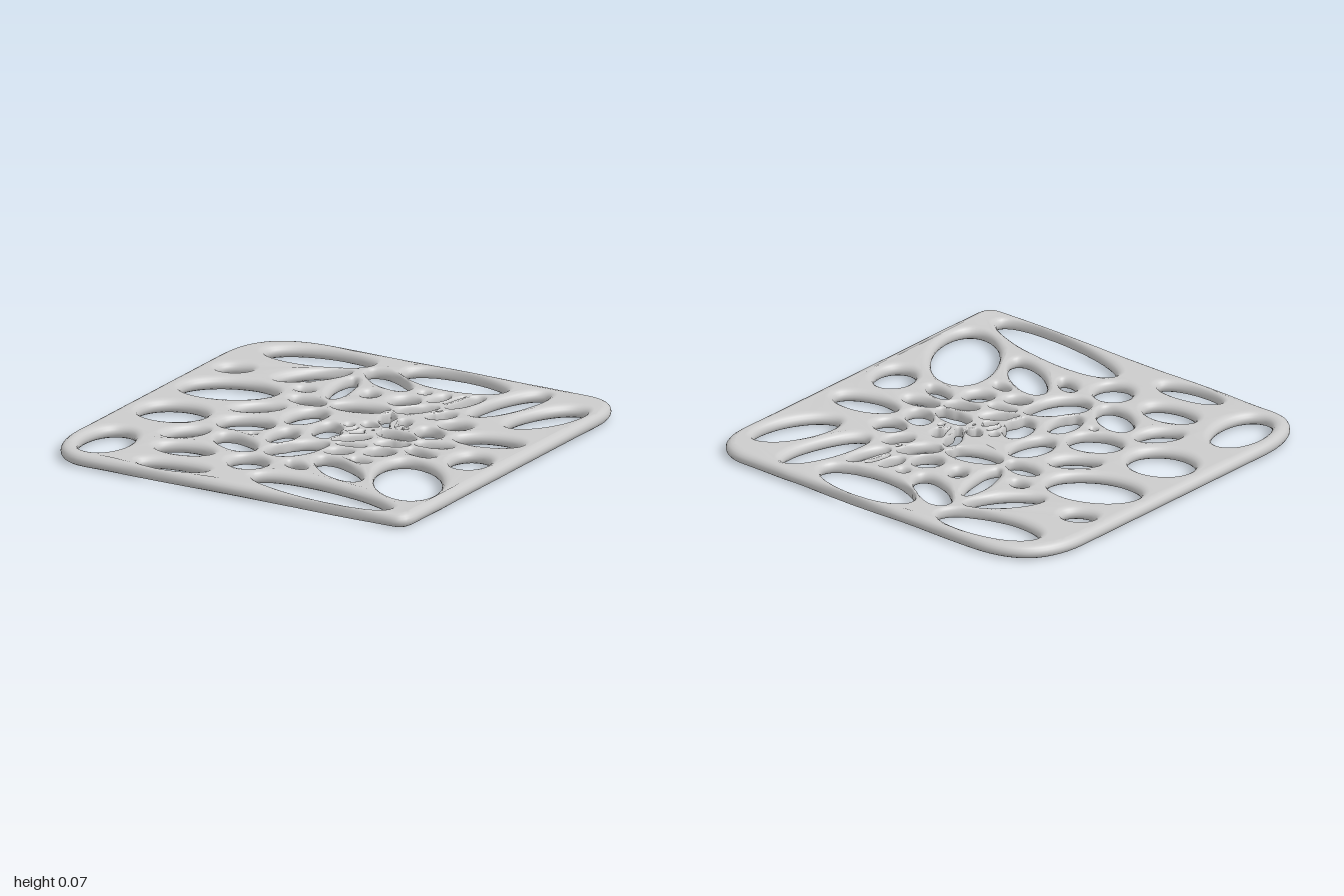
import * as THREE from 'three';

const HEIGHT = 0.07, ROUND = 0.042, MIN_GAP = 0.018;

// Holes as ellipses: centre x, centre z, half length, half width, angle in degrees, taper
const rimHoles = [
  [-0.57, -0.82, 0.27, 0.12, -9], [0.15, -0.85, 0.28, 0.13, 3], [0.55, -0.69, 0.24, 0.085, -75],
  [0.80, -0.61, 0.22, 0.105, -68], [0.74, -0.18, 0.165, 0.085, -10], [0.82, 0.12, 0.12, 0.095, 70],
  [0.71, 0.50, 0.305, 0.16, 55], [0.45, 0.855, 0.405, 0.115, 8], [-0.345, 0.89, 0.175, 0.07, -6],
  [-0.80, 0.73, 0.19, 0.12, 82], [-0.745, 0.22, 0.165, 0.14, -10], [-0.69, -0.20, 0.23, 0.145, -20],
  [-0.83, -0.475, 0.08, 0.06, -25],
];
const middleHoles = [
  [-0.46, -0.58, 0.185, 0.07, -50], [-0.245, -0.49, 0.165, 0.045, 78], [-0.125, -0.705, 0.175, 0.075, 32],
  [-0.093, -0.483, 0.05, 0.04, 60], [-0.39, -0.387, 0.045, 0.033, 10], [-0.29, -0.25, 0.095, 0.052, 8],
  [-0.025, -0.29, 0.145, 0.065, -12], [-0.175, -0.047, 0.125, 0.078, -85], [-0.435, -0.04, 0.115, 0.06, -40],
  [-0.365, 0.185, 0.13, 0.1, -20], [-0.125, 0.25, 0.108, 0.062, 80], [-0.262, 0.295, 0.016, 0.012, 0],
  [-0.54, 0.44, 0.11, 0.065, -55], [-0.265, 0.445, 0.145, 0.078, 32], [0.025, 0.365, 0.16, 0.09, -60, 0.25],
  [-0.42, 0.655, 0.14, 0.083, -5], [-0.067, 0.66, 0.105, 0.09, 50], [0.147, 0.58, 0.072, 0.035, 30],
  [0.35, 0.53, 0.2, 0.08, 35], [0.37, 0.37, 0.05, 0.027, 10],
];
const clusterHoles = [
  [0.385, 0.218, 0.07, 0.06, -50], [0.215, 0.307, 0.062, 0.045, -25], [0.015, 0.075, 0.115, 0.068, 65],
  [0.215, 0.195, 0.07, 0.024, -10], [0.165, 0.115, 0.09, 0.04, -42], [0.375, 0.085, 0.08, 0.045, -25],
  [0.555, 0.13, 0.085, 0.04, 20], [0.55, 0, 0.09, 0.045, -12], [0.325, -0.03, 0.11, 0.055, 10],
  [0.445, -0.135, 0.085, 0.062, 45], [0.49, -0.295, 0.075, 0.068, 0], [0.26, -0.185, 0.065, 0.04, 75],
  [0.175, -0.205, 0.115, 0.035, 62], [0.21, -0.40, 0.11, 0.05, -48], [0.36, -0.385, 0.07, 0.05, -60],
  [0.355, -0.605, 0.115, 0.045, -75], [0.10, -0.48, 0.072, 0.065, -60], [0.22, -0.595, 0.065, 0.035, -80],
  [0.12, -0.63, 0.025, 0.022, 0], [0.295, -0.61, 0.07, 0.013, -78], [0.30, -0.135, 0.023, 0.018, 0],
  [0.145, -0.095, 0.05, 0.032, 25], [0.055, -0.05, 0.022, 0.02, 0], [0.195, -0.035, 0.035, 0.018, 90],
  [0.10, 0, 0.035, 0.009, -75], [0.16, 0.01, 0.055, 0.02, -50], [0.31, -0.43, 0.02, 0.009, -70],
];
const holes = [...rimHoles, ...middleHoles, ...clusterHoles].map(([x, z, a, b, deg, taper = 0]) =>
  ({ x, z, a, b, taper, cos: Math.cos(deg * Math.PI / 180), sin: Math.sin(deg * Math.PI / 180) }));

// Approximate signed distance from a point to the edge of a hole
function distanceToHole(h, p) {
  const dx = p.x - h.x, dz = p.y - h.z;
  const u = dx * h.cos + dz * h.sin, v = dz * h.cos - dx * h.sin;
  const b = h.b * (1 - h.taper * THREE.MathUtils.clamp(u / h.a, -1, 1));
  const k = Math.hypot(u / h.a, v / b);
  return k * (k - 1) / Math.max(1e-6, Math.hypot(u / h.a ** 2, v / b ** 2));
}

// Width of material between a point on one contour and the nearest other contour
function gapAt(p, own) {
  let gap = own ? Math.min(1 - Math.abs(p.x), 1 - Math.abs(p.y)) : Infinity;
  for (const h of holes) if (h !== own) gap = Math.min(gap, distanceToHole(h, p));
  return gap;
}

// Hole contour, clockwise, drawn in wherever a neighbour comes too close
function holeContour(h, count = 56) {
  const points = [];
  for (let i = 0; i < count; i++) {
    const t = -i / count * Math.PI * 2;
    const u = h.a * Math.cos(t), v = h.b * (1 - h.taper * Math.cos(t)) * Math.sin(t);
    const p = new THREE.Vector2();
    for (let s = 1; s > 0.2; s -= 0.02) {
      p.set(h.x + s * (u * h.cos - v * h.sin), h.z + s * (u * h.sin + v * h.cos));
      if (gapAt(p, h) >= MIN_GAP) break;
    }
    points.push(p);
  }
  return points;
}

// Outer contour, counter-clockwise, with a different softness at each corner
function outerContour() {
  const s = new THREE.Shape();
  s.moveTo(-0.6, -1);
  s.lineTo(0.8, -1);
  s.quadraticCurveTo(1, -1, 1, -0.77);
  s.lineTo(1, 0.9);
  s.quadraticCurveTo(1, 1, 0.92, 1);
  s.lineTo(-0.77, 1);
  s.quadraticCurveTo(-1, 1, -1, 0.65);
  s.lineTo(-1, -0.62);
  s.quadraticCurveTo(-1, -1, -0.6, -1);
  return s.getSpacedPoints(280).slice(0, -1);
}

function panelGeometry() {
  const positions = [], index = [], caps = [], bottomIds = [], topIds = [];
  const levels = 8;

  // Rounded wall along one contour; the material lies to its left
  function addWall(points, own) {
    const n = points.length, start = positions.length / 3, cap = [];
    points.forEach((p, i) => {
      const t = points[(i + 1) % n].clone().sub(points[(i + n - 1) % n]).normalize();
      const round = Math.min(ROUND, 0.4 * Math.max(gapAt(p, own), 0.008));
      const half = HEIGHT / 2 * (0.75 + 0.25 * round / ROUND);
      for (let j = 0; j <= levels; j++) {
        const phi = (j / levels - 0.5) * Math.PI;
        const d = round * (1 - Math.cos(phi));
        positions.push(p.x - t.y * d, HEIGHT / 2 + half * Math.sin(phi), p.y + t.x * d);
      }
      cap.push(new THREE.Vector2(p.x - t.y * round, p.y + t.x * round));
      const a = start + i * (levels + 1), b = start + ((i + 1) % n) * (levels + 1);
      bottomIds.push(a);
      topIds.push(a + levels);
      for (let j = 0; j < levels; j++) {
        index.push(a + j, a + j + 1, b + j, b + j, a + j + 1, b + j + 1);
      }
    });
    caps.push(cap);
  }

  addWall(outerContour(), null);
  for (const h of holes) addWall(holeContour(h), h);

  // Upper and lower faces between the walls
  for (const [a, b, c] of THREE.ShapeUtils.triangulateShape(caps[0], caps.slice(1))) {
    index.push(topIds[a], topIds[c], topIds[b], bottomIds[a], bottomIds[b], bottomIds[c]);
  }
  const g = new THREE.BufferGeometry();
  g.setAttribute('position', new THREE.Float32BufferAttribute(positions, 3));
  g.setIndex(index);
  g.computeVertexNormals();
  return g;
}

export function createModel() {
  const group = new THREE.Group();
  group.name = 'perforatedPanel';
  const panel = new THREE.Mesh(panelGeometry(), new THREE.MeshStandardMaterial({ color: 0xcccccc }));
  panel.name = 'cellularPanel';
  group.add(panel);
  return group;
}
